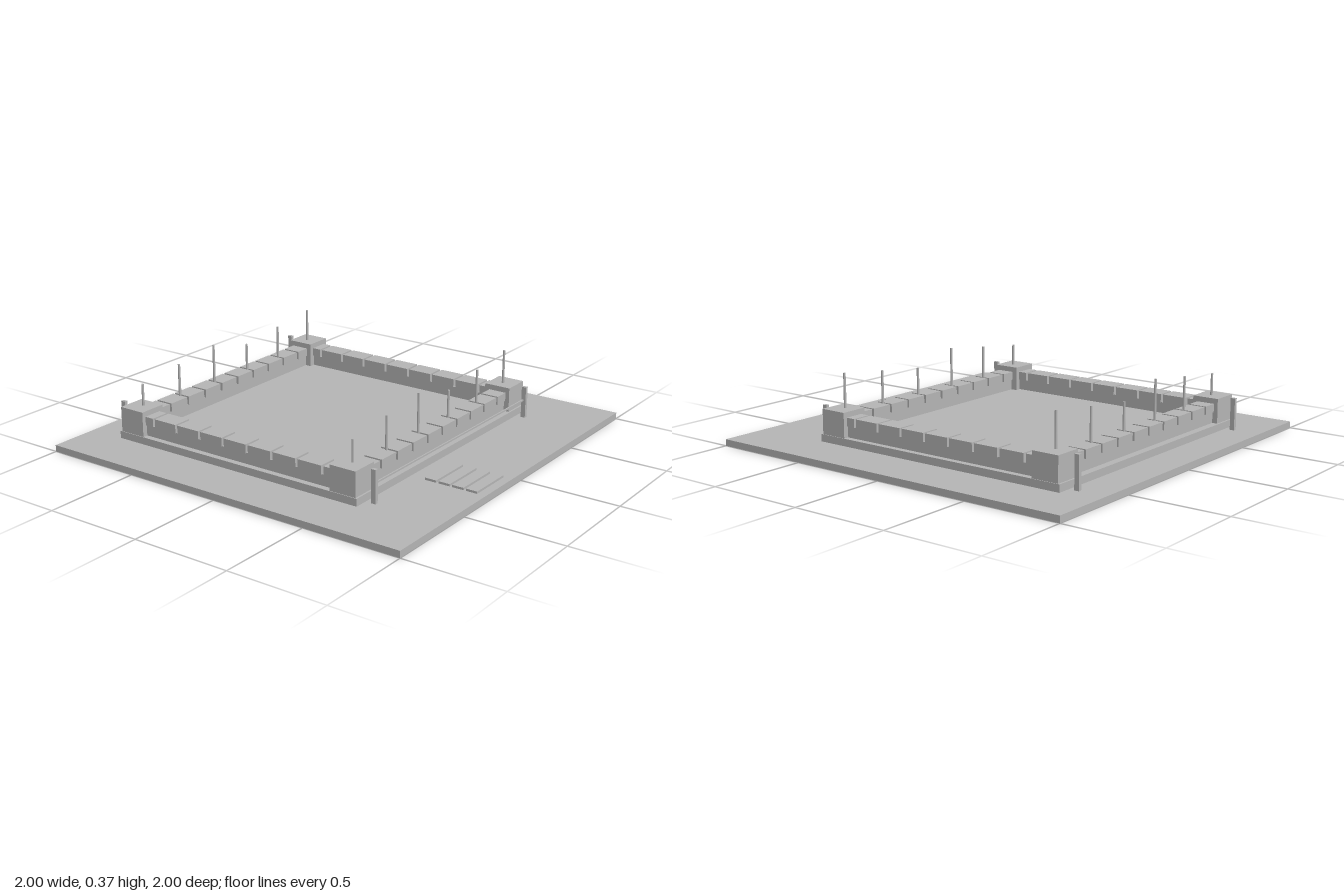
import * as THREE from 'three';

export function createModel() {
  const model = new THREE.Group();
  model.name = 'walledCourt';
  const stone = new THREE.MeshStandardMaterial({ color: 0xb4b4b4 });
  stone.name = 'grey stone';

  // Box given by its centre in plan, its bottom and its top
  const box = (parent, name, x, z, bottom, top, w, d) => {
    const mesh = new THREE.Mesh(new THREE.BoxGeometry(w, top - bottom, d), stone);
    mesh.position.set(x, (bottom + top) / 2, z);
    mesh.name = name;
    parent.add(mesh);
  };
  const group = (name) => {
    const g = new THREE.Group();
    g.name = name;
    model.add(g);
    return g;
  };

  const ground = 0.033, plinthTop = 0.07, wallTop = 0.125, merlonTop = 0.168, towerTop = 0.195;
  const midZ = -0.105, halfX = 0.672, halfZ = 0.63;

  // Ground slab and plinth
  box(model, 'groundSlab', 0, 0, 0, ground, 2, 2);
  box(model, 'plinth', 0, midZ, ground, plinthTop, 1.49, 1.415);

  // Front and back walls, side walls, each with a row of merlons
  for (const side of [-1, 1]) {
    const long = group(side > 0 ? 'frontWall' : 'backWall');
    const z = midZ + side * halfZ;
    box(long, 'wall', 0, z, plinthTop, wallTop, 1.3, 0.08);
    for (let i = 0; i < 10; i++)
      box(long, 'merlon', (i - 4.5) * 0.1285, z, wallTop, merlonTop, 0.115, 0.094);

    const flank = group(side > 0 ? 'leftWall' : 'rightWall');
    const x = side * halfX;
    box(flank, 'wall', x, midZ, plinthTop, wallTop, 0.085, 1.2);
    for (let i = 0; i < 9; i++)
      box(flank, 'merlon', x, midZ + (i - 4) * 0.144, wallTop, merlonTop, 0.098, 0.131);
  }

  // Corner towers and the free-standing posts outside them
  for (const sx of [-1, 1]) for (const sz of [-1, 1]) {
    box(model, 'cornerTower', sx * 0.67, midZ + sz * 0.628, plinthTop, towerTop, 0.143, 0.14);
    box(model, 'post', sx * 0.668, midZ + sz * 0.748, ground, towerTop, 0.018, 0.024);
  }

  // Thin rail between the front posts
  box(model, 'frontRail', 0, midZ + 0.745, 0.121, 0.129, 1.33, 0.007);

  // Poles of three repeating heights along the front and back walls
  const tops = [0.305, 0.335, 0.367];
  const poles = group('poles');
  for (const sz of [-1, 1]) for (let i = 0; i < 6; i++) {
    const bottom = 0.12, top = tops[i % 3];
    const pole = new THREE.Mesh(new THREE.CylinderGeometry(0.006, 0.007, top - bottom, 8), stone);
    pole.position.set((i - 2.5) * 0.264, (top + bottom) / 2, midZ + sz * 0.626);
    pole.name = 'pole';
    poles.add(pole);
  }

  // Flat paving strips in front
  const paving = group('pavingStrips');
  for (let i = 0; i < 4; i++)
    box(paving, 'strip', -0.2, 0.711 + i * 0.072, ground, 0.044, 0.235, 0.059);

  return model;
}
